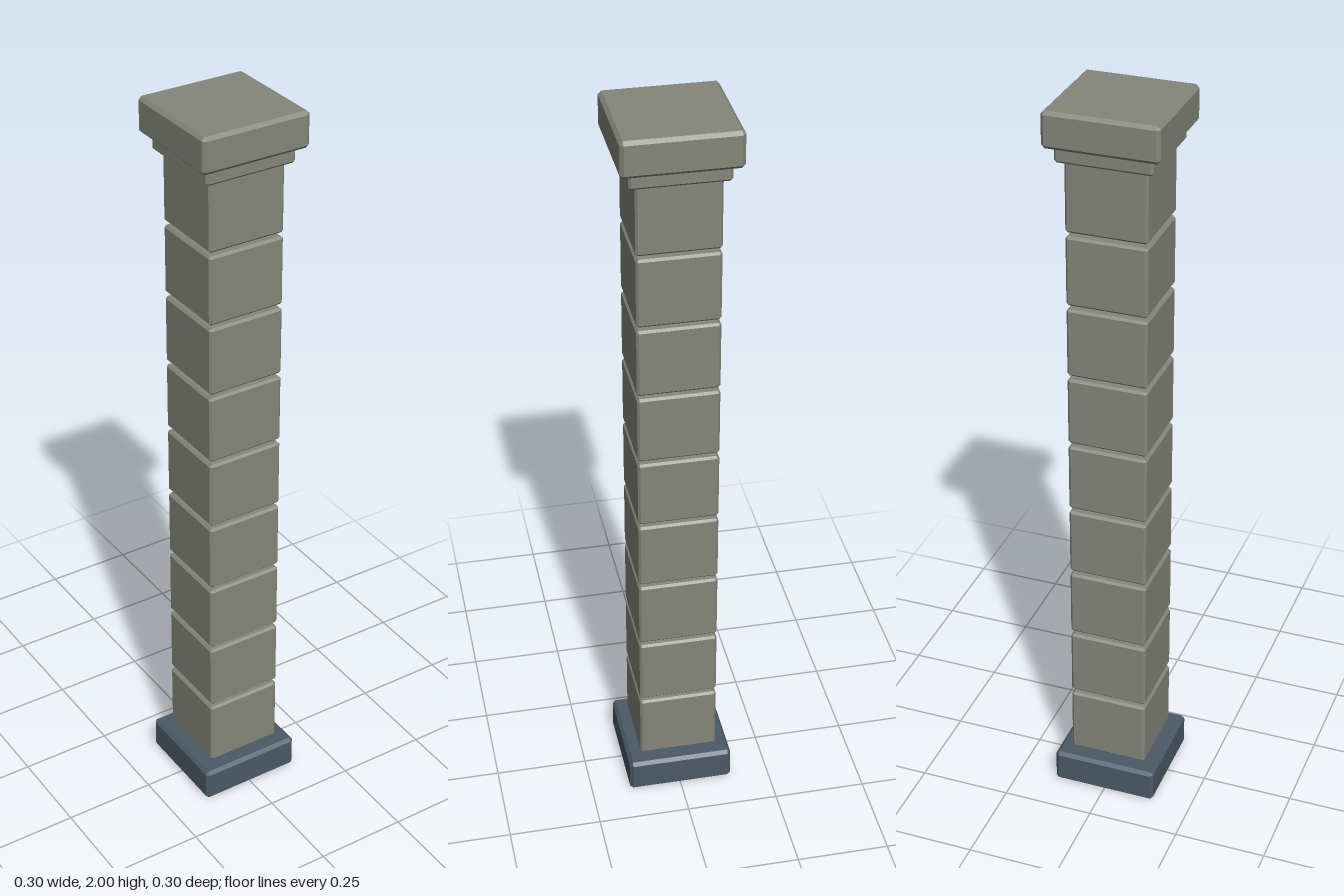
import * as THREE from 'three';
import { ConvexGeometry } from 'three/addons/geometries/ConvexGeometry.js';

// Box with every edge cut by a flat chamfer c
function chamferedBox(w, h, d, c) {
  const points = [];
  for (const sx of [-1, 1]) for (const sy of [-1, 1]) for (const sz of [-1, 1]) {
    const x = w / 2, y = h / 2, z = d / 2;
    points.push(
      new THREE.Vector3(sx * x, sy * (y - c), sz * (z - c)),
      new THREE.Vector3(sx * (x - c), sy * y, sz * (z - c)),
      new THREE.Vector3(sx * (x - c), sy * (y - c), sz * z)
    );
  }
  return new ConvexGeometry(points);
}

export function createModel() {
  const pillar = new THREE.Group();
  pillar.name = 'stonePillar';

  const stone = new THREE.MeshStandardMaterial({ color: 0x84867a });
  stone.name = 'grey stone';
  const slate = new THREE.MeshStandardMaterial({ color: 0x4b5a67 });
  slate.name = 'blue slate';

  // Square slab spanning y0 to y1
  function slab(name, width, y0, y1, chamfer, material) {
    const mesh = new THREE.Mesh(chamferedBox(width, y1 - y0, width, chamfer), material);
    mesh.name = name;
    mesh.position.y = (y0 + y1) / 2;
    pillar.add(mesh);
  }

  // Plinth
  slab('base', 0.287, 0, 0.094, 0.009, slate);

  // Shaft of nine separate blocks with open joints
  const pitch = 0.1972;
  for (let i = 0; i < 9; i++) {
    const y = 0.1 + i * pitch;
    slab(`shaftBlock${i + 1}`, 0.213, y, y + 0.187, 0.006, stone);
  }

  // Capital
  slab('neck', 0.25, 1.864, 1.905, 0.006, stone);
  slab('cap', 0.298, 1.905, 2, 0.009, stone);

  return pillar;
}
